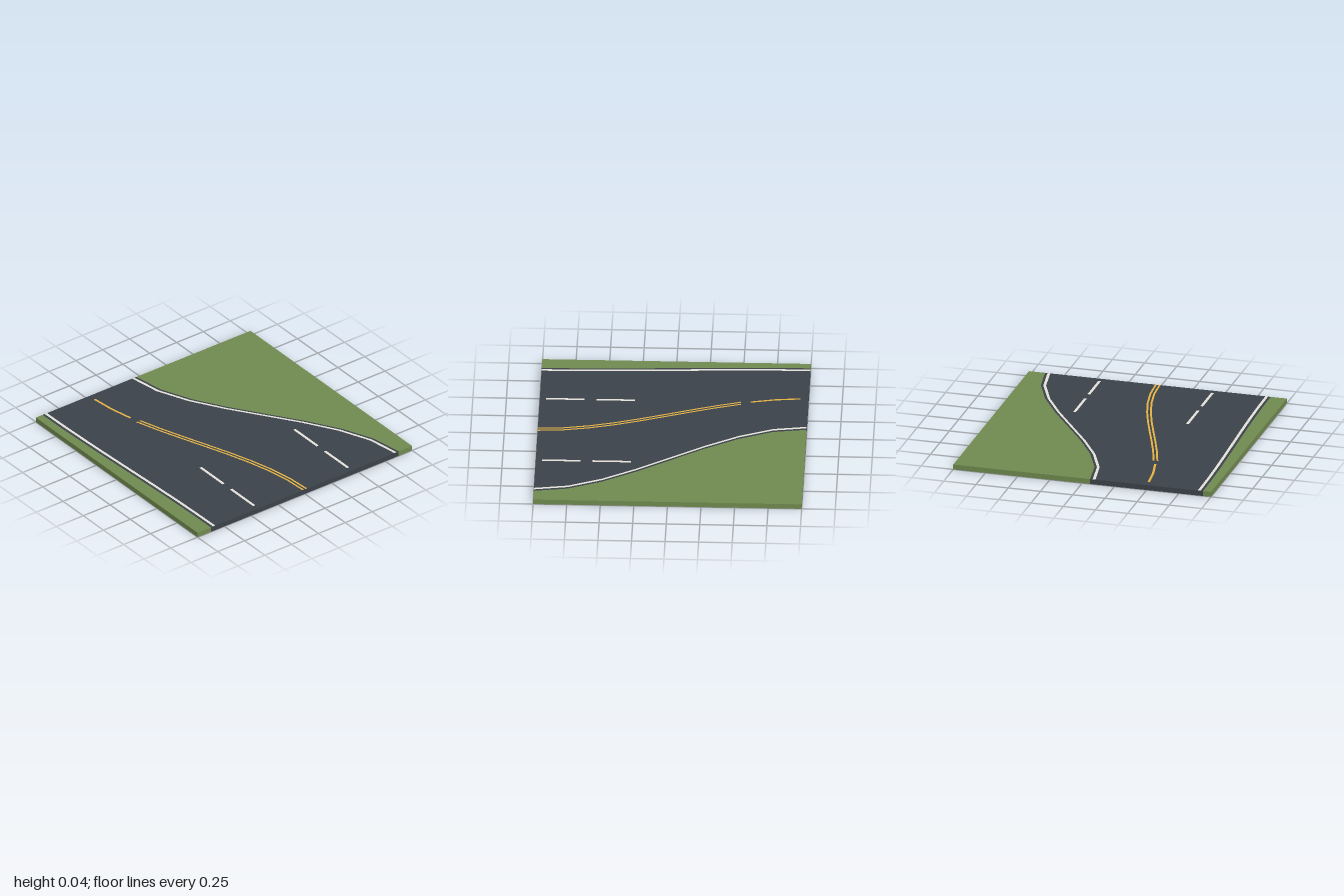
import * as THREE from 'three';

const HEIGHT = 0.039;      // top of the ground
const PAINT_Y = 0.04;      // top of the markings
const STEPS = 8;

// S-shaped shift along the road: value a at the back (z = -1), b at the front (z = 1)
const ease = (a, b) => (z) => {
  const t = (z + 1) / 2;
  return a + (b - a) * t * t * (3 - 2 * t);
};
const shift = (f, d) => (z) => f(z) + d;

const leftTile = () => 1;
const rightTile = () => -1;
const rightEdge = ease(-0.9375, -0.875);
const leftEdge = ease(-0.0625, 0.875);
const centre = ease(-0.5, 0);

// Flat sheet between two x-curves, from z0 to z1
function sheet(xMin, xMax, z0, z1, steps, y) {
  const near = [], far = [];
  for (let i = 0; i <= steps; i++) {
    const z = z0 + ((z1 - z0) * i) / steps;
    near.push(new THREE.Vector2(xMin(z), -z));
    far.push(new THREE.Vector2(xMax(z), -z));
  }
  const geometry = new THREE.ShapeGeometry(new THREE.Shape([...near, ...far.reverse()]));
  return geometry.rotateX(-Math.PI / 2).translate(0, y, 0);
}

export function createModel() {
  const group = new THREE.Group();
  const material = (name, color) => {
    const m = new THREE.MeshStandardMaterial({ color, side: THREE.DoubleSide });
    m.name = name;
    return m;
  };
  const grass = material('grass', 0x6f894e);
  const asphalt = material('asphalt', 0x3a4249);
  const white = material('whitePaint', 0xe2e0d8);
  const yellow = material('yellowPaint', 0xe2af42);

  const add = (name, geometry, mat) => {
    const mesh = new THREE.Mesh(geometry, mat);
    mesh.name = name;
    group.add(mesh);
  };

  // Strips of ground, open below, each with its front and back rim
  const ground = (name, xMin, xMax, mat) => {
    add(name, sheet(xMin, xMax, -1, 1, STEPS, HEIGHT), mat);
    for (const z of [-1, 1]) {
      const rim = new THREE.PlaneGeometry(xMax(z) - xMin(z), HEIGHT);
      if (z < 0) rim.rotateY(Math.PI);
      rim.translate((xMin(z) + xMax(z)) / 2, HEIGHT / 2, z);
      add(name + 'Rim', rim, mat);
    }
  };
  ground('road', rightEdge, leftEdge, asphalt);
  ground('rightVerge', rightTile, rightEdge, grass);
  ground('leftVerge', leftEdge, leftTile, grass);

  // Side rims
  for (const x of [-1, 1]) {
    const rim = new THREE.PlaneGeometry(2, HEIGHT);
    rim.rotateY((x * Math.PI) / 2).translate(x, HEIGHT / 2, 0);
    add('sideRim', rim, grass);
  }

  // Painted stripe following a curve
  const stripe = (name, curve, width, z0, z1, steps, mat) =>
    add(name, sheet(shift(curve, -width / 2), shift(curve, width / 2), z0, z1, steps, PAINT_Y), mat);

  // Edge lines
  stripe('rightEdgeLine', shift(rightEdge, 0.03), 0.022, -1, 1, STEPS, white);
  stripe('leftEdgeLine', shift(leftEdge, -0.03), 0.022, -1, 1, STEPS, white);

  // Double centre line, then a single dash where the road narrows
  for (const side of [-1, 1]) {
    stripe('centreLine', shift(centre, side * 0.0145), 0.015, -0.5, 1, STEPS, yellow);
  }
  stripe('centreDash', centre, 0.018, -0.94, -0.57, 2, yellow);

  // Lane dashes on the wide part
  for (const x of [-0.4375, 0.4375]) {
    for (const z of [0.29, 0.667]) {
      stripe('laneDash', () => x, 0.022, z, z + 0.287, 1, white);
    }
  }
  return group;
}
